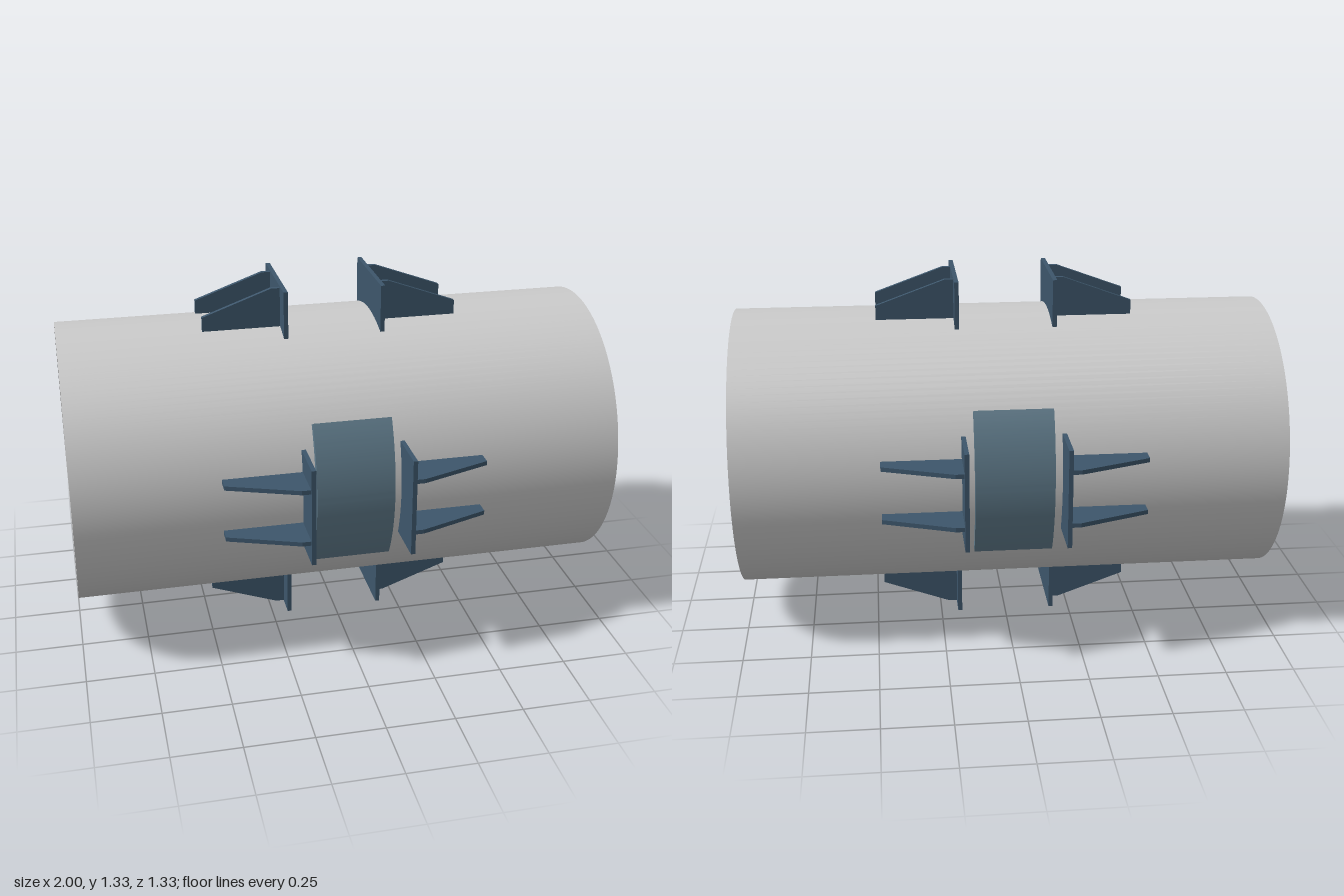
import * as THREE from 'three';
import { toCreasedNormals } from 'three/addons/utils/BufferGeometryUtils.js';

const R = 0.521, WALL = 0.007, AXIS_Y = 0.667, REACH = 0.664;
const MID_X = -0.0025; // brackets sit a hair off the pipe's middle

const pipeMat = new THREE.MeshStandardMaterial({ color: 0xcccccc });
const steelMat = new THREE.MeshStandardMaterial({ color: 0x3d566b });
const padMat = new THREE.MeshStandardMaterial({ color: 0x5f7a8a });

function part(name, geometry, material) {
  const mesh = new THREE.Mesh(geometry, material);
  mesh.name = name;
  return mesh;
}

// Extrude a cross-section (across, radial) along x, from x0 to x1
function alongX(shape, x0, x1) {
  const geo = new THREE.ExtrudeGeometry(shape, { depth: x1 - x0, bevelEnabled: false, curveSegments: 32 });
  geo.rotateY(Math.PI / 2).translate(x0, 0, 0);
  return toCreasedNormals(geo, 0.5);
}

// Thin-walled open pipe lying along x
function makePipe() {
  const profile = [[R, -1], [R, 1], [R - WALL, 1], [R - WALL, -1], [R, -1]]
    .map(([r, y]) => new THREE.Vector2(r, y));
  const geo = new THREE.LatheGeometry(profile, 128).rotateZ(-Math.PI / 2);
  return part('pipe', toCreasedNormals(geo, 0.5), pipeMat);
}

// End plate with a saddle-cut foot and two tapered ribs, on the +x side
function makeStop() {
  const stop = new THREE.Group();
  const half = 0.183, a = Math.asin(half / R);
  const plate = new THREE.Shape();
  plate.moveTo(half, REACH);
  plate.lineTo(-half, REACH);
  plate.lineTo(-half, R * Math.cos(a));
  plate.absarc(0, 0, R, Math.PI / 2 + a, Math.PI / 2 - a, true);
  plate.closePath();
  stop.add(part('stopPlate', alongX(plate, 0.172, 0.188), steelMat));

  const rib = new THREE.Shape([
    [0.188, 0.511], [0.475, 0.511], [0.475, 0.564], [0.22, 0.657], [0.188, 0.657],
  ].map(([x, y]) => new THREE.Vector2(x, y)));
  for (const z of [-0.1, 0.1]) {
    const geo = new THREE.ExtrudeGeometry(rib, { depth: 0.016, bevelEnabled: false });
    stop.add(part('stopRib', geo.translate(0, 0, z - 0.008), steelMat));
  }
  return stop;
}

// Curved wear pad hugging the pipe
function makePad() {
  const mid = Math.PI / 2, a = Math.PI / 6;
  const pad = new THREE.Shape();
  pad.absarc(0, 0, 0.545, mid - a, mid + a, false);
  pad.absarc(0, 0, R, mid + a, mid - a, true);
  pad.closePath();
  return part('wearPad', alongX(pad, -0.143, 0.143), padMat);
}

export function createModel() {
  const model = new THREE.Group();
  model.name = 'pipeSupport';
  const pipe = makePipe();
  pipe.position.y = AXIS_Y;
  model.add(pipe);

  // Four stop pairs around the pipe; the front and back pairs hold a pad
  for (let k = 0; k < 4; k++) {
    const station = new THREE.Group();
    station.name = ['topStops', 'frontStops', 'bottomStops', 'backStops'][k];
    for (const turn of [0, Math.PI]) {
      const stop = makeStop();
      stop.name = turn ? 'rightStop' : 'leftStop';
      stop.rotation.y = turn;
      station.add(stop);
    }
    if (k % 2) station.add(makePad());
    station.rotation.x = k * Math.PI / 2;
    station.position.set(MID_X, AXIS_Y, 0);
    model.add(station);
  }
  return model;
}
